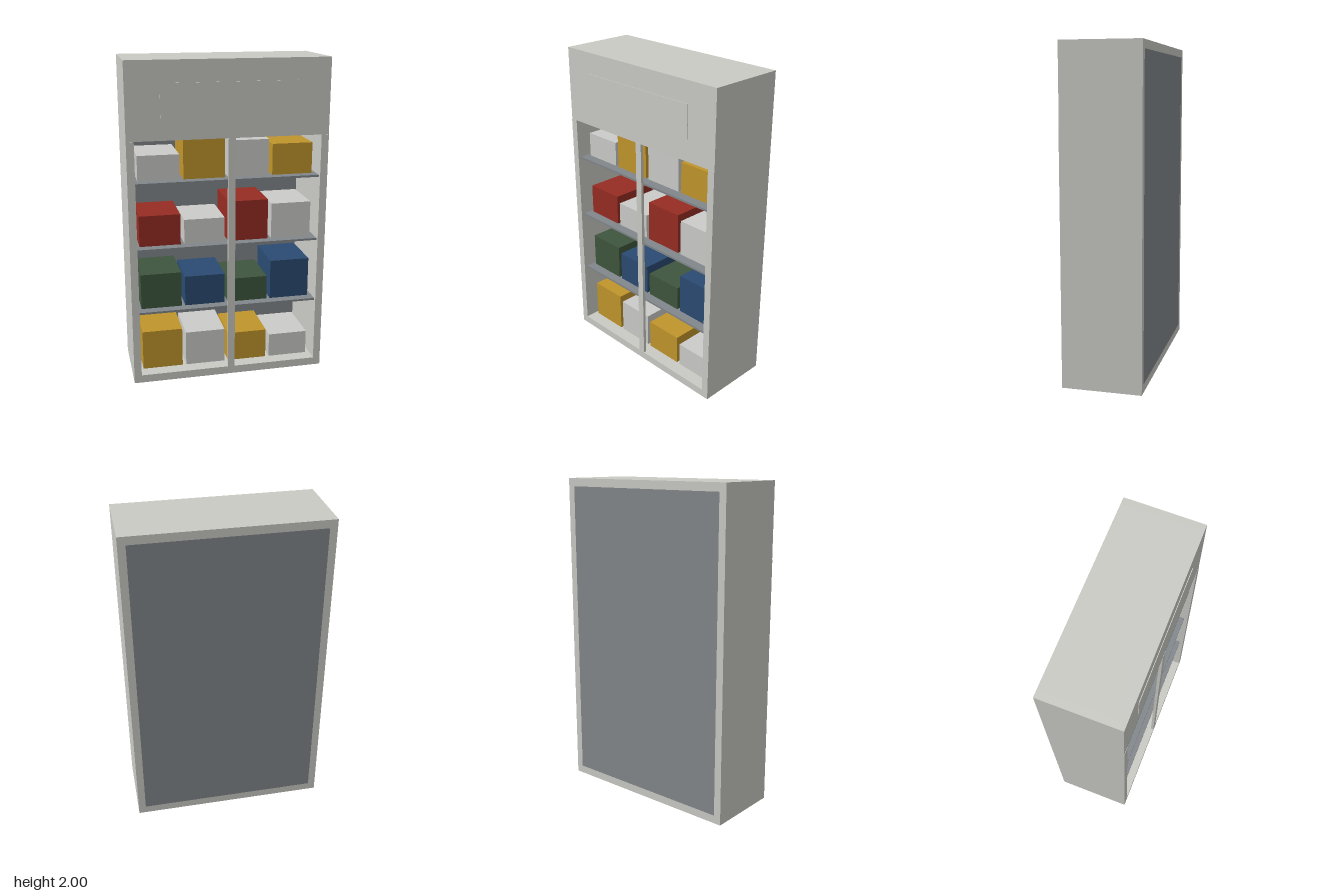
import * as THREE from 'three';

const mat = (name, color) => {
  const m = new THREE.MeshStandardMaterial({ color });
  m.name = name;
  return m;
};

export function createModel() {
  const model = new THREE.Group();
  model.name = 'stockedCabinet';

  const shell = mat('pale grey', 0xcacac5);
  const panel = mat('slate grey', 0x82878b);
  const yellow = mat('yellow', 0xc0952c);
  const white = mat('white', 0xcbcbc9);
  const red = mat('red', 0x962c22);
  const green = mat('green', 0x3e563e);
  const blue = mat('blue', 0x2b4b72);

  // Box given by its minimum and maximum corners
  const block = (name, material, [x0, y0, z0], [x1, y1, z1], parent = model) => {
    const mesh = new THREE.Mesh(new THREE.BoxGeometry(x1 - x0, y1 - y0, z1 - z0), material);
    mesh.position.set((x0 + x1) / 2, (y0 + y1) / 2, (z0 + z1) / 2);
    mesh.name = name;
    parent.add(mesh);
  };

  const W = 0.612, I = 0.566, B = -0.241, F = 0.239;

  // Carcass: sides, floor, roof and back panel
  for (const [name, s] of [['left', 1], ['right', -1]]) {
    const xs = [s * I, s * W].sort((a, b) => a - b);
    block(name + 'Side', shell, [xs[0], 0, B], [xs[1], 2, 0.22]);
    block(name + 'FrontPost', shell, [xs[0], 0, 0.22], [xs[1], 1.54, F]);
  }
  block('floor', shell, [-I, 0, B], [I, 0.05, F]);
  block('roof', shell, [-I, 1.95, B], [I, 2, 0.22]);
  block('backPanel', panel, [-I, 0.05, B], [I, 1.95, -0.225]);

  // Front header with its thin sign plate, and the centre mullion
  block('header', shell, [-W, 1.54, 0.22], [W, 2, 0.237]);
  block('signPlate', shell, [-0.41, 1.67, 0.237], [0.41, 1.87, 0.241]);
  block('mullion', shell, [-0.01, 0.05, 0.22], [0.034, 1.54, F]);

  // Shelves and the cartons standing on them, from the bottom up
  const heights = [0.255, 0.225, 0.193, 0.155];
  const lefts = [-0.545, -0.268, 0.008, 0.285];
  const rows = [
    [0.05, 0, [yellow, white, yellow, white]],
    [0.465, 1, [green, blue, green, blue]],
    [0.875, 2, [red, white, red, white]],
    [1.285, 3, [white, yellow, white, yellow]],
  ];
  rows.forEach(([y, shift, colours], r) => {
    if (r > 0) block('shelf' + r, panel, [-I, y - 0.013, -0.225], [I, y, 0.215]);
    const row = new THREE.Group();
    row.name = 'cartonRow' + (r + 1);
    model.add(row);
    colours.forEach((colour, i) => {
      const h = heights[(i + shift) % 4], x = lefts[i];
      block('carton' + (i + 1), colour, [x, y, -0.16], [x + 0.254, y + h, 0.155], row);
    });
  });

  return model;
}
